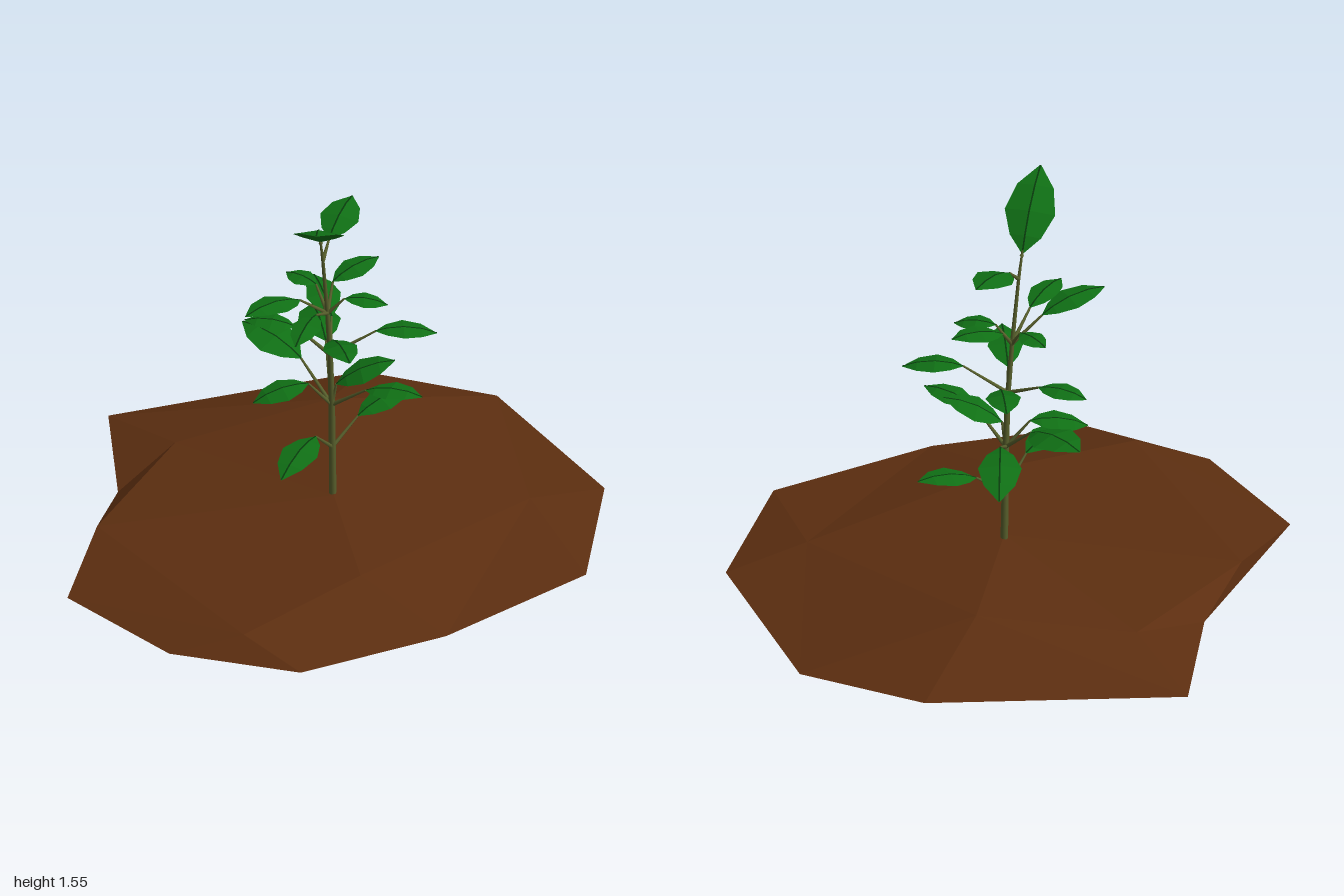
import * as THREE from 'three';

const V = (a) => new THREE.Vector3(...a);
const soil = new THREE.MeshStandardMaterial({ color: 0x5c2e10, flatShading: true });
soil.name = 'brown soil';
const green = new THREE.MeshStandardMaterial({ color: 0x107015, flatShading: true, side: THREE.DoubleSide });
green.name = 'leaf green';
const dark = new THREE.MeshStandardMaterial({ color: 0x083c0c, flatShading: true, side: THREE.DoubleSide });
dark.name = 'vein green';
const bark = new THREE.MeshStandardMaterial({ color: 0x58602c });
bark.name = 'stem olive';

function named(geometry, material, name) {
  const m = new THREE.Mesh(geometry, material);
  m.name = name;
  return m;
}

function surface(points, triangles) {
  const g = new THREE.BufferGeometry();
  g.setAttribute('position', new THREE.Float32BufferAttribute(points.flat(), 3));
  g.setIndex(triangles.flat());
  const flat = g.toNonIndexed();
  flat.computeVertexNormals();
  return flat;
}

// Faceted heap of earth: rim corners, raised corners and a flat base
function makeMound() {
  const p = {
    A: [-0.24, 0.04, -0.93], B: [0.26, 0.02, -1], C: [0.85, 0.02, -0.6], D: [1, 0.02, -0.06],
    E: [0.68, 0.02, 0.5], F: [0.28, 0.02, 0.92], G: [-0.21, 0.02, 0.99], H: [-0.69, 0.02, 0.8],
    I: [-0.78, 0.02, 0.1], J: [-1, 0.02, -0.34],
    K: [-0.73, 0.085, 0.42], L: [0.03, 0.085, 0.86], M: [0.03, 0.155, 0], N: [0.25, 0, 0.45],
    P: [-0.2, 0.185, -0.53], Q: [0.3, 0.125, 0.4], R: [0.66, 0.085, -0.35], S: [-0.67, 0.09, -0.18],
  };
  const keys = Object.keys(p);
  const faces = ('APB AJP JSP JIS IKS SKM SMP PMR PRB BRC CRD RED RQE RMQ ' +
    'QFE QLF LGF HGL KHL KLQ KQM IHK').split(' ');
  const rim = 'ABCDEFGHIJ';
  for (let i = 0; i < 10; i++) faces.push('N' + rim[i] + rim[(i + 1) % 10]);
  return named(surface(Object.values(p), faces.map((f) => [...f].map((k) => keys.indexOf(k)))), soil, 'soilMound');
}

// Tapered round segment between two points
function limb(a, b, r0, r1, name) {
  const d = b.clone().sub(a);
  const m = named(new THREE.CylinderGeometry(r1, r0, d.length(), 6), bark, name);
  m.position.copy(a).addScaledVector(d, 0.5);
  m.quaternion.setFromUnitVectors(new THREE.Vector3(0, 1, 0), d.normalize());
  return m;
}

// Arched blade built from cross-sections: left edge, midrib, right edge
function makeLeaf(base, tip, width) {
  const d = tip.clone().sub(base);
  const len = d.length();
  const side = new THREE.Vector3().crossVectors(d, new THREE.Vector3(0, 1, 0)).normalize();
  const up = new THREE.Vector3().crossVectors(side, d).normalize();
  const stations = [[0, 0.04], [0.18, 0.62], [0.45, 1], [0.75, 0.72], [1, 0.03]];
  const ribbon = (halfWidth, lift) => {
    const pts = [], tris = [];
    stations.forEach(([t, w], i) => {
      for (const s of [-1, 0, 1]) {
        const h = halfWidth(w);
        pts.push(base.clone().addScaledVector(d, t).addScaledVector(side, s * h)
          .addScaledVector(up, len * 0.4 * t * (1 - t) - Math.abs(s) * h * 0.18 + lift).toArray());
      }
      if (!i) return;
      for (const k of [0, 1]) {
        const a = i * 3 - 3 + k, b = i * 3 + k;
        tris.push([a, a + 1, b + 1], [a, b + 1, b]);
      }
    });
    return surface(pts, tris);
  };
  const g = new THREE.Group();
  g.name = 'leaf';
  g.add(named(ribbon((w) => w * width / 2, 0), green, 'leafBlade'));
  g.add(named(ribbon(() => 0.003, 0.002), dark, 'leafMidrib'));
  return g;
}

export function createModel() {
  const root = new THREE.Group();
  root.name = 'seedling';
  root.add(makeMound());

  // Slender stem leaning gently forward
  const stem = [[0.02, 0.13, -0.015], [0.02, 0.55, -0.005], [0.02, 0.78, 0.01], [0.02, 1.0, 0.04],
    [0.02, 1.24, 0.08], [0.02, 1.35, 0.105]].map(V);
  const radii = [0.014, 0.012, 0.01, 0.008, 0.006, 0.004];
  for (let i = 0; i < 5; i++) root.add(limb(stem[i], stem[i + 1], radii[i], radii[i + 1], 'stem'));

  // Whorls of leaves: node on the stem, then blade base, blade tip and width
  const whorls = [
    [[0.02, 0.36, -0.01], [
      [[0, 0.47, 0.1], [-0.02, 0.45, 0.38], 0.14],
      [[0.08, 0.45, -0.11], [0.21, 0.49, -0.3], 0.13]]],
    [[0.02, 0.55, -0.005], [
      [[-0.08, 0.69, -0.19], [-0.24, 0.65, -0.44], 0.16],
      [[-0.12, 0.69, -0.05], [-0.38, 0.74, -0.12], 0.18],
      [[0.16, 0.66, 0.01], [0.38, 0.68, 0], 0.12],
      [[0.04, 0.65, 0], [0.23, 0.74, -0.1], 0.16],
      [[-0.05, 0.66, 0.05], [-0.21, 0.62, 0.19], 0.14]]],
    [[0.02, 0.78, 0.01], [
      [[-0.12, 0.86, 0], [-0.31, 0.86, 0.03], 0.11],
      [[0.17, 0.88, -0.06], [0.37, 0.86, -0.16], 0.12],
      [[0.04, 0.87, 0.04], [0.18, 0.91, 0.21], 0.13],
      [[-0.02, 0.87, -0.1], [-0.16, 0.91, -0.27], 0.13]]],
    [[0.02, 0.98, 0.035], [
      [[-0.05, 1.08, 0.13], [-0.17, 1.12, 0.36], 0.13],
      [[0.03, 1.06, 0.17], [0.04, 1.06, 0.39], 0.11],
      [[0.08, 1.05, 0.02], [0.23, 1.03, -0.03], 0.1],
      [[0.01, 1.07, -0.04], [0.12, 1.1, -0.21], 0.12],
      [[-0.04, 1.07, 0], [-0.17, 1.07, -0.03], 0.1]]],
    [[0.02, 1.24, 0.08], [
      [[0.02, 1.3, 0.02], [0.02, 1.35, -0.2], 0.15]]],
    [[0.02, 1.33, 0.1], [
      [[0.02, 1.34, 0.105], [0.11, 1.55, 0.36], 0.19]]],
  ];
  for (const [node, leaves] of whorls) {
    for (const [base, tip, width] of leaves) {
      root.add(limb(V(node), V(base), 0.008, 0.004, 'leafStalk'));
      root.add(makeLeaf(V(base), V(tip), width));
    }
  }
  return root;
}
